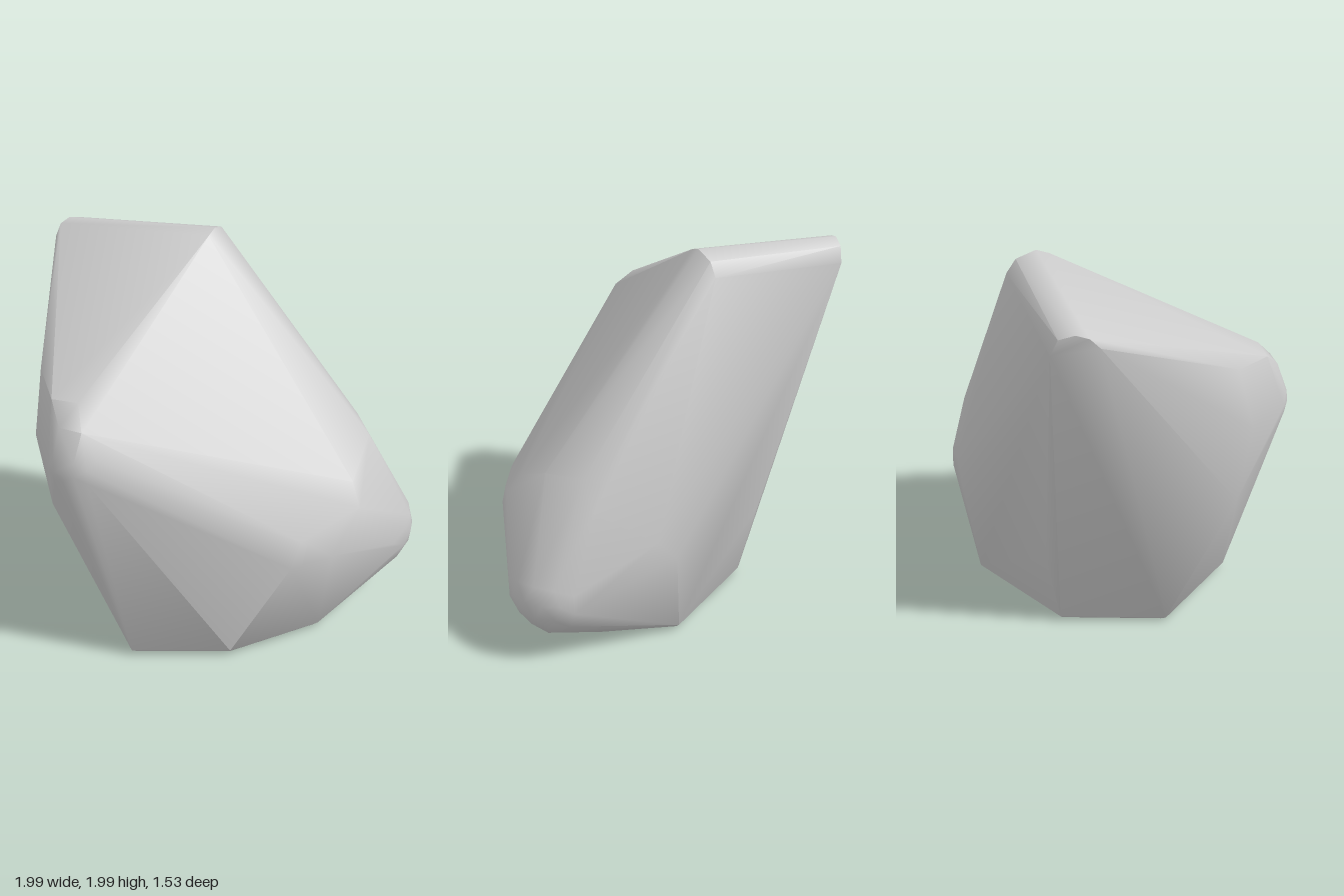
import * as THREE from 'three';
import { ConvexGeometry } from 'three/addons/geometries/ConvexGeometry.js';
import { toCreasedNormals } from 'three/addons/utils/BufferGeometryUtils.js';

// Worn corners: centre x, y, z and radius of the rounding
const ROUNDED = [
  [-0.79, 1.17, 0.54, 0.175], // shoulder
  [0.74, 0.38, 0.17, 0.26],   // low nose
];

// Sharper corners
const SHARP = [
  // chamfered top ridge, back end
  [-0.79, 1.84, -0.62], [-0.76, 1.89, -0.66], [-0.71, 1.905, -0.7],
  [-0.65, 1.88, -0.75], [-0.62, 1.8, -0.77],
  // chamfered top ridge, front end
  [-0.05, 1.965, -0.19], [-0.01, 1.985, -0.24], [0.04, 1.95, -0.33], [0.065, 1.88, -0.37],
  // shoulder and side
  [-0.8, 1.48, 0.54], [-0.8, 1.38, 0.65], [-0.9, 1.38, 0.58], [-0.92, 1.47, 0.46],
  [-0.95, 1.5, 0.2], [-1, 1.17, 0.27], [-0.94, 0.74, 0.25],
  // slope down to the nose
  [0.71, 0.98, 0.03], [0.72, 0.97, 0.24], [0.69, 0.96, -0.06], [0.76, 0.83, -0.05],
  // front bulge
  [0.2, 0.55, 0.76], [0.26, 0.68, 0.73], [0.43, 0.55, 0.69], [0.47, 0.68, 0.64],
  [0.6, 0.73, 0.55], [0.58, 0.84, 0.47],
  // back bulge
  [0.45, 0.5, -0.36], [0.55, 0.62, -0.3], [-0.3, 0.45, -0.48],
  // underside of the nose
  [0.75, 0.075, 0.16], [0.86, 0.13, 0.17],
];

// Outline of the foot as x, z
const FOOT = [
  [-0.71, 0], [-0.3, -0.375], [0.36, -0.33], [0.6, 0.02], [0.6, 0.3],
  [0.4, 0.56], [-0.1, 0.71], [-0.6, 0.62],
];

function cornerPoints([x, y, z, r]) {
  const p = new THREE.IcosahedronGeometry(r, 2).getAttribute('position');
  const centre = new THREE.Vector3(x, y, z);
  return Array.from({ length: p.count }, (_, i) =>
    new THREE.Vector3().fromBufferAttribute(p, i).add(centre));
}

export function createModel() {
  const points = ROUNDED.flatMap(cornerPoints);
  for (const c of SHARP) points.push(new THREE.Vector3(...c));
  // Foot with a narrow bevel around it
  for (const [x, z] of FOOT) {
    points.push(new THREE.Vector3(x, 0.03, z));
    points.push(new THREE.Vector3(x * 0.94, 0, 0.15 + (z - 0.15) * 0.94));
  }

  const boulder = new THREE.Mesh(
    toCreasedNormals(new ConvexGeometry(points), 0.8),
    new THREE.MeshStandardMaterial({ color: 0xcccccc }),
  );
  boulder.name = 'boulder';

  const group = new THREE.Group();
  group.name = 'rock';
  group.add(boulder);
  return group;
}
